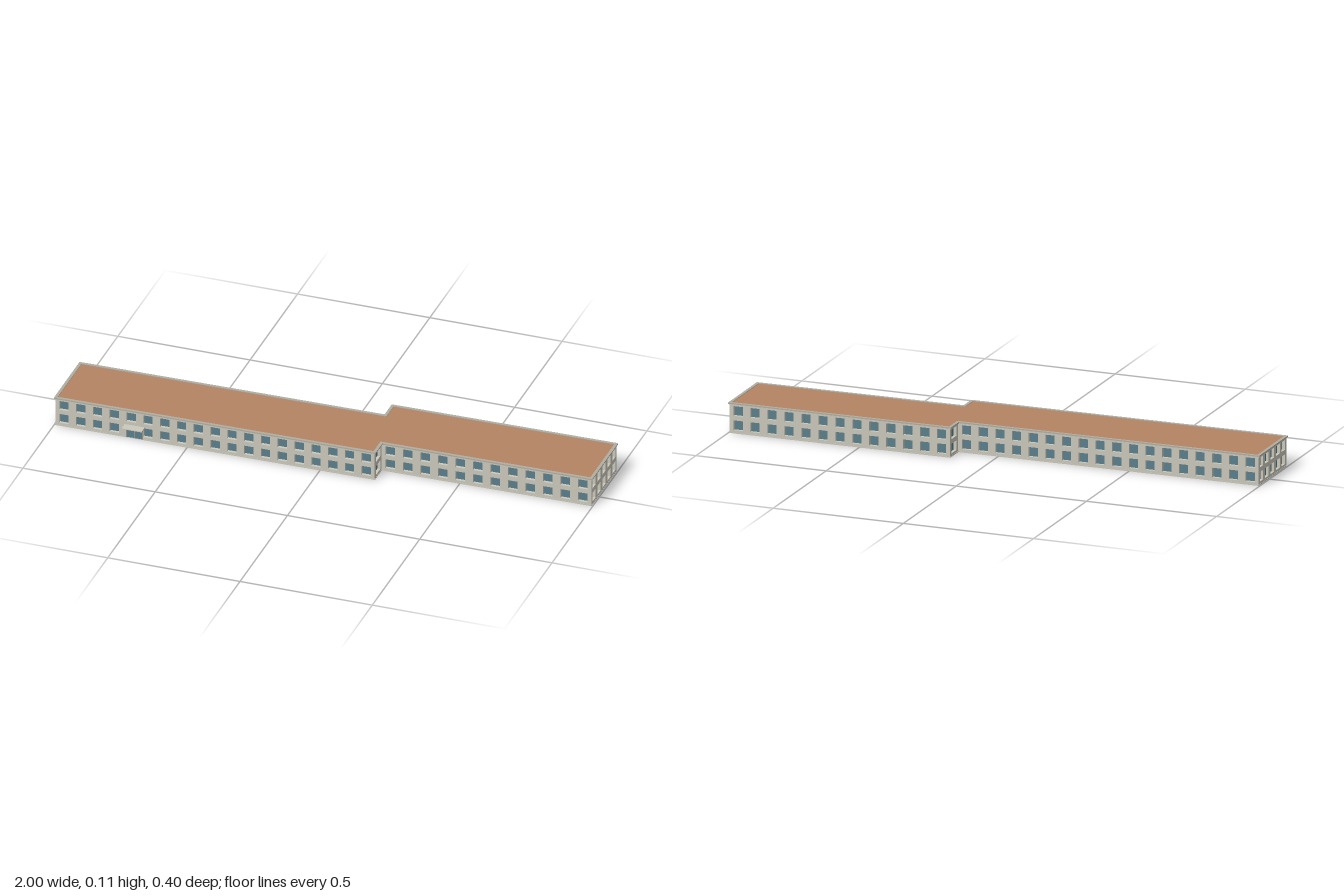
import * as THREE from 'three';

export function createModel() {
  const model = new THREE.Group();
  model.name = 'longBuilding';

  const material = (name, color, side = THREE.FrontSide) => {
    const m = new THREE.MeshStandardMaterial({ color, side });
    m.name = name;
    return m;
  };
  const plaster = material('plaster', 0xcbc8bb);
  const coping = material('coping', 0xb0aea2);
  const glass = material('glass', 0x5b7f8c, THREE.DoubleSide);
  const roofing = material('roofing', 0xb48463, THREE.DoubleSide);

  const add = (parent, name, geometry, mat) => {
    const mesh = new THREE.Mesh(geometry, mat);
    mesh.name = name;
    parent.add(mesh);
    return mesh;
  };

  // Footprint corners [x, z], with the bays and window width of the wall that starts at each
  const walls = [
    { x: -0.995, z: 0.170, name: 'frontRightWing', bays: 19, win: 0.035, door: 4 },
    { x: 0.206, z: 0.155, name: 'frontStep', bays: 1, win: 0.046 },
    { x: 0.206, z: 0.083, name: 'frontLeftWing', bays: 12, win: 0.035 },
    { x: 0.995, z: 0.071, name: 'leftEnd', bays: 5, win: 0.035 },
    { x: 0.995, z: -0.193, name: 'backLeftWing', bays: 13, win: 0.035 },
    { x: 0.153, z: -0.182, name: 'backStep', bays: 1, win: 0.046 },
    { x: 0.153, z: -0.106, name: 'backRightWing', bays: 18, win: 0.035 },
    { x: -0.995, z: -0.092, name: 'rightEnd', bays: 5, win: 0.035 },
  ];
  const count = walls.length;
  const height = 0.11, thickness = 0.012;
  const floors = [[0.012, 0.048], [0.065, 0.101]];

  // Counter-clockwise rectangle corners
  const rect = (x0, y0, x1, y1) => [
    new THREE.Vector2(x0, y0), new THREE.Vector2(x1, y0),
    new THREE.Vector2(x1, y1), new THREE.Vector2(x0, y1),
  ];

  // Walls with recessed windows
  walls.forEach((wall, i) => {
    const next = walls[(i + 1) % count];
    const dx = next.x - wall.x, dz = next.z - wall.z;
    const length = Math.hypot(dx, dz), bay = length / wall.bays;
    const group = new THREE.Group();
    group.name = wall.name;
    group.position.set(wall.x, 0, wall.z);
    group.rotation.y = Math.atan2(-dz, dx);
    model.add(group);

    const shape = new THREE.Shape(rect(0, 0, length, height));
    for (let b = 0; b < wall.bays; b++) {
      const centre = (b + 0.5) * bay;
      floors.forEach(([y0, y1], f) => {
        if (f === 0 && b === wall.door) return;
        const corners = rect(centre - wall.win / 2, y0, centre + wall.win / 2, y1);
        shape.holes.push(new THREE.Path(corners.reverse()));
        const pane = add(group, 'windowPane', new THREE.PlaneGeometry(wall.win, y1 - y0), glass);
        pane.position.set(centre, (y0 + y1) / 2, -thickness + 0.001);
      });
    }
    const geometry = new THREE.ExtrudeGeometry(shape, { depth: thickness, bevelEnabled: false });
    geometry.translate(0, 0, -thickness);
    add(group, 'wall', geometry, plaster);

    // Entrance door and its canopy
    if (wall.door !== undefined) {
      const doorX = 0.298;
      add(group, 'door', new THREE.BoxGeometry(0.06, 0.046, 0.002), glass).position.set(doorX, 0.026, 0.001);
      for (const side of [-1, 0, 1]) {
        add(group, 'doorPost', new THREE.BoxGeometry(0.002, 0.046, 0.004), coping)
          .position.set(doorX + side * 0.03, 0.026, 0.002);
      }
      add(group, 'canopy', new THREE.BoxGeometry(0.076, 0.003, 0.034), plaster).position.set(doorX, 0.051, 0.016);
    }
  });

  // Footprint moved outwards by a distance, as points (x, -z)
  const outline = (distance) => walls.map((p, i) => {
    const before = walls[(i + count - 1) % count], after = walls[(i + 1) % count];
    const normal = (a, b) => new THREE.Vector2(-(b.z - a.z), -(b.x - a.x)).normalize();
    const n = normal(before, p).add(normal(p, after)).multiplyScalar(distance);
    return new THREE.Vector2(p.x + n.x, -p.z + n.y);
  });

  // Closed band running round the building
  const band = (name, outer, inner, y, tall, mat) => {
    const shape = new THREE.Shape(outline(outer));
    shape.holes.push(new THREE.Path(outline(inner).reverse()));
    const geometry = new THREE.ExtrudeGeometry(shape, { depth: tall, bevelEnabled: false });
    geometry.rotateX(-Math.PI / 2);
    add(model, name, geometry, mat).position.y = y;
  };
  band('plinth', 0.001, -0.001, 0, 0.004, plaster);
  band('fascia', 0.002, -0.001, 0.105, 0.004, plaster);
  band('cornice', 0.005, -0.006, 0.109, 0.0045, coping);

  // Flat roof, set just below the cornice top
  const roof = new THREE.ShapeGeometry(new THREE.Shape(outline(-0.003)));
  roof.rotateX(-Math.PI / 2);
  add(model, 'roof', roof, roofing).position.y = 0.1115;

  return model;
}
